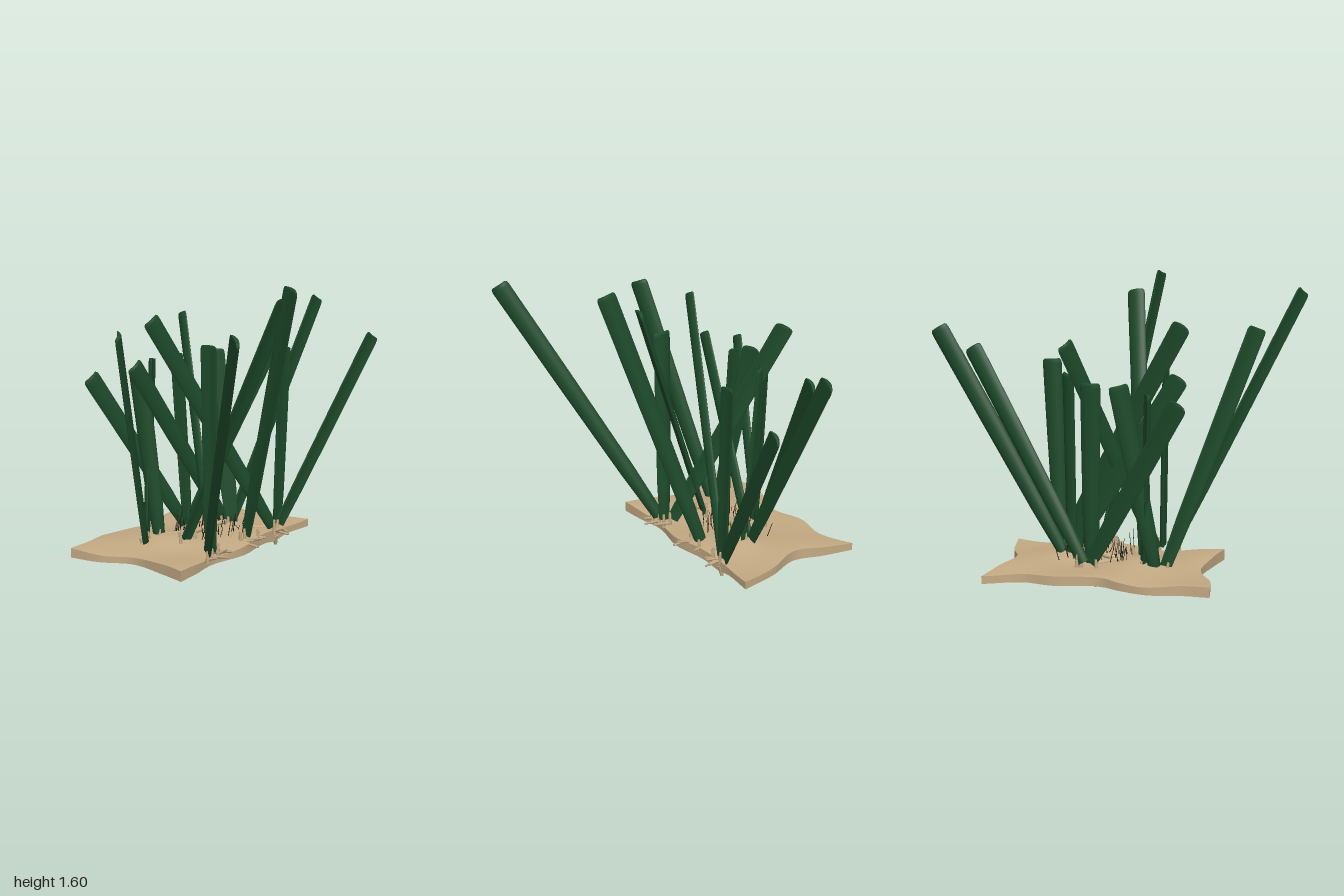
import * as THREE from 'three';

const green = new THREE.MeshStandardMaterial({ name: 'leafGreen', color: 0x1e4b2b });
const sand = new THREE.MeshStandardMaterial({ name: 'sand', color: 0xc4aa84, side: THREE.DoubleSide });
const dark = new THREE.MeshStandardMaterial({ name: 'darkFibre', color: 0x1c1a12 });

let seed = 7;
const rand = (a, b) => {
  seed = (seed * 16807) % 2147483647;
  return a + (b - a) * (seed / 2147483647);
};
const V = (x, y, z) => new THREE.Vector3(x, y, z);

// Grid of points (rows x cols) to an indexed surface
function gridGeometry(rows, cols, point) {
  const pos = [], idx = [];
  for (let i = 0; i <= rows; i++)
    for (let j = 0; j <= cols; j++) pos.push(...point(i / rows, j / cols).toArray());
  for (let i = 0; i < rows; i++)
    for (let j = 0; j < cols; j++) {
      const a = i * (cols + 1) + j, b = a + cols + 1;
      idx.push(a, b, a + 1, b, b + 1, a + 1);
    }
  const g = new THREE.BufferGeometry();
  g.setAttribute('position', new THREE.Float32BufferAttribute(pos, 3));
  g.setIndex(idx);
  g.computeVertexNormals();
  return g;
}

// Channelled strap leaf: rounded square tip, blade width along a heading
function makeLeaf([base, tip, heading]) {
  const from = V(...base), to = V(...tip);
  const axis = to.clone().sub(from);
  const L = axis.length();
  axis.normalize();
  const side = V(...heading);
  side.addScaledVector(axis, -side.dot(axis)).normalize();
  const normal = side.clone().cross(axis);
  // stations: [distance along the leaf, half width, half thickness]
  const stations = [
    [0, 0, 0], [0, 0.034, 0.013], [0.2 * L, 0.045, 0.013], [0.6 * L, 0.051, 0.012],
    [L - 0.025, 0.054, 0.011], [L - 0.008, 0.051, 0.011], [L, 0.043, 0.009], [L, 0, 0],
  ];
  const n = stations.length - 1;
  const geo = gridGeometry(n, 20, (u, v) => {
    const [d, w, t] = stations[Math.round(u * n)];
    const c = Math.cos(v * 2 * Math.PI), s = Math.sin(v * 2 * Math.PI);
    return from.clone().addScaledVector(axis, d)
      .addScaledVector(side, w * c)
      .addScaledVector(normal, t * s + (w ? 0.014 * (c * c - 0.5) : 0));
  });
  const mesh = new THREE.Mesh(geo, green);
  mesh.name = 'leaf';
  return mesh;
}

// Thin round rod between two points
function rod(a, b, r0, r1, material, name) {
  const dir = b.clone().sub(a);
  const m = new THREE.Mesh(new THREE.CylinderGeometry(r1, r0, dir.length(), 7), material);
  m.position.copy(a).add(b).multiplyScalar(0.5);
  m.quaternion.setFromUnitVectors(V(0, 1, 0), dir.normalize());
  m.name = name;
  return m;
}

// Wavy sand slab: a patch between four edge curves
function makeSand() {
  const curve = pts => new THREE.CatmullRomCurve3(pts.map(([x, z]) => V(x, 0, z)));
  const back = curve([[-0.69, -0.67], [-0.54, -0.67], [-0.37, -0.70], [-0.22, -0.66], [-0.08, -0.6], [0.14, -0.645], [0.32, -0.62], [0.52, -0.70]]);
  const front = curve([[-0.645, 0.06], [-0.5, 0.05], [-0.33, 0.03], [-0.1, 0.075], [0.1, 0.05], [0.3, 0.04], [0.54, 0.07]]);
  const left = curve([[-0.69, -0.67], [-0.66, -0.5], [-0.58, -0.32], [-0.61, -0.1], [-0.645, 0.06]]);
  const right = curve([[0.52, -0.70], [0.48, -0.52], [0.43, -0.35], [0.5, -0.15], [0.54, 0.07]]);
  const plan = (u, v) => {
    const p = back.getPoint(u).multiplyScalar(1 - v).addScaledVector(front.getPoint(u), v);
    p.addScaledVector(left.getPoint(v), 1 - u).addScaledVector(right.getPoint(v), u);
    p.addScaledVector(back.getPoint(0), -(1 - u) * (1 - v)).addScaledVector(back.getPoint(1), -u * (1 - v));
    p.addScaledVector(front.getPoint(0), -(1 - u) * v).addScaledVector(front.getPoint(1), -u * v);
    return p;
  };
  const inner = (u, v) => Math.sqrt(Math.max(0, Math.sin(Math.PI * u) * Math.sin(Math.PI * v)));
  const mound = (p, x, z, r) => Math.exp(-((p.x - x) ** 2 + (p.z - z) ** 2) / (r * r));
  const top = (u, v) => {
    const p = plan(u, v);
    p.y = 0.098 + 0.012 * Math.sin(9 * p.x + 1) * Math.cos(8 * p.z) + 0.01 * inner(u, v)
      + 0.025 * mound(p, -0.27, -0.3, 0.14) + 0.022 * mound(p, 0.15, -0.2, 0.12);
    return p;
  };
  const bottom = (u, v) => {
    const p = plan(u, v);
    p.y = 0.05 - 0.014 * inner(u, v) * (1 + 0.5 * Math.sin(11 * p.x + 6 * p.z))
      - 0.02 * mound(p, 0.25, 0.02, 0.08);
    return p;
  };
  const g = new THREE.Group();
  g.name = 'sandPatch';
  const add = (geo, name) => {
    const m = new THREE.Mesh(geo, sand);
    m.name = name;
    g.add(m);
  };
  add(gridGeometry(40, 40, (u, v) => top(v, u)), 'sandTop');
  add(gridGeometry(40, 40, bottom), 'sandUnderside');
  const edges = [t => [1 - t, 0], t => [t, 1], t => [0, t], t => [1, 1 - t]];
  edges.forEach(e => add(gridGeometry(3, 40, (h, t) => top(...e(t)).lerp(bottom(...e(t)), h)), 'sandEdge'));
  return g;
}

export function createModel() {
  const model = new THREE.Group();
  model.name = 'seagrassPatch';
  model.add(makeSand());

  // Leaves: base, tip, direction of the blade width
  const X = [1, 0, 0], Z = [0, 0, 1];
  const leaves = [
    [[-0.36, 0.12, 0.02], [-0.975, 1.48, 0.66], [-0.55, 0, 0.8]],
    [[-0.31, 0.12, 0.01], [-0.32, 1.26, 0.01], Z],
    [[-0.28, 0.12, -0.02], [0.11, 1.31, -0.51], [0.33, 0, -0.5]],
    [[-0.4, 0.12, -0.38], [-0.84, 1.38, -0.18], [-0.7, 0, 0.45]],
    [[-0.35, 0.12, -0.41], [-0.17, 1.1, -0.5], [0.18, 0, -0.09]],
    [[-0.28, 0.12, -0.38], [-0.32, 1.05, -0.48], [-0.04, 0, -0.1]],
    [[-0.25, 0.12, -0.22], [-0.08, 1.5, 0.32], [0.9, 0, 0.3]],
    [[0.03, 0.12, 0.0], [-0.2, 1.59, 0.45], [-0.28, 0, 1]],
    [[0.0, 0.12, -0.41], [-0.515, 1.04, -0.65], [-1, 0, -0.25]],
    [[0.0, 0.12, -0.4], [-0.01, 1.1, -0.46], X],
    [[0.04, 0.12, -0.42], [0.71, 1.23, -0.21], [1, 0, 0.22]],
    [[0.16, 0.12, -0.24], [-0.47, 1.13, -0.38], [-1, 0, -0.15]],
    [[0.16, 0.12, -0.2], [0.15, 1.12, -0.31], [0.72, 0, 0.7]],
    [[0.2, 0.12, -0.23], [0.925, 1.32, -0.14], [1, 0, 0.08]],
    [[0.25, 0.12, 0.02], [-0.46, 1.39, -0.27], [-1, 0, -0.25]],
    [[0.28, 0.12, 0.03], [0.33, 1.14, 0.04], X],
    [[0.3, 0.12, 0.03], [0.965, 1.13, 0.22], [1, 0, 0.2]],
  ];
  const foliage = new THREE.Group();
  foliage.name = 'leaves';
  leaves.forEach(l => foliage.add(makeLeaf(l)));
  model.add(foliage);

  // Pale sheaths and short rootlets around each clump
  const roots = new THREE.Group();
  roots.name = 'roots';
  const clumps = [[-0.32, 0.02], [0.02, 0.02], [0.26, 0.03], [-0.35, -0.39], [0.02, -0.41], [0.17, -0.23], [-0.25, -0.22]];
  clumps.forEach(([x, z]) => {
    for (let i = 0; i < 4; i++) {
      const px = x + rand(-0.07, 0.07), pz = z + rand(-0.03, 0.03);
      roots.add(rod(V(px, 0.08, pz), V(px + rand(-0.015, 0.015), rand(0.14, 0.17), pz), 0.012, 0.007, sand, 'sheath'));
      if (z > 0)
        roots.add(rod(V(px, 0.1, pz), V(px + rand(-0.02, 0.02), rand(0.08, 0.15), rand(0.08, 0.14)), 0.009, 0.006, sand, 'rootlet'));
    }
  });
  roots.add(rod(V(0.26, 0.06, 0.03), V(0.27, 0.005, 0.03), 0.02, 0.009, sand, 'tapRoot'));

  // Half-buried creeping stems, above and below the sand
  const stems = [
    [[-0.4, 0.09, -0.3], [-0.3, 0.13, -0.35], [-0.15, 0.12, -0.31], [0.0, 0.1, -0.36]],
    [[-0.3, 0.1, -0.2], [-0.1, 0.118, -0.27], [0.1, 0.135, -0.22], [0.22, 0.1, -0.25]],
    [[-0.05, 0.1, -0.05], [0.1, 0.118, -0.09], [0.27, 0.1, 0.0]],
    [[-0.35, 0.045, -0.38], [-0.15, 0.034, -0.4], [0.05, 0.04, -0.38]],
    [[0.0, 0.045, -0.02], [0.15, 0.034, -0.06], [0.28, 0.04, 0.03]],
  ];
  stems.forEach(p => {
    const path = new THREE.CatmullRomCurve3(p.map(q => V(...q)));
    const m = new THREE.Mesh(new THREE.TubeGeometry(path, 20, 0.014, 8), sand);
    m.name = 'creepingStem';
    roots.add(m);
  });
  model.add(roots);

  // Fine dark fibres standing between the clumps
  const fibres = new THREE.Group();
  fibres.name = 'fibres';
  for (let i = 0; i < 50; i++) {
    const x = rand(-0.2, 0.2), z = i % 2 ? rand(-0.36, -0.28) : rand(-0.2, -0.07);
    const a = V(x, 0.1, z), b = V(x + rand(-0.02, 0.02), rand(0.13, 0.24), z + rand(-0.03, 0.03));
    fibres.add(rod(a, b, 0.0025, 0.0012, dark, 'fibre'));
  }
  model.add(fibres);
  return model;
}
